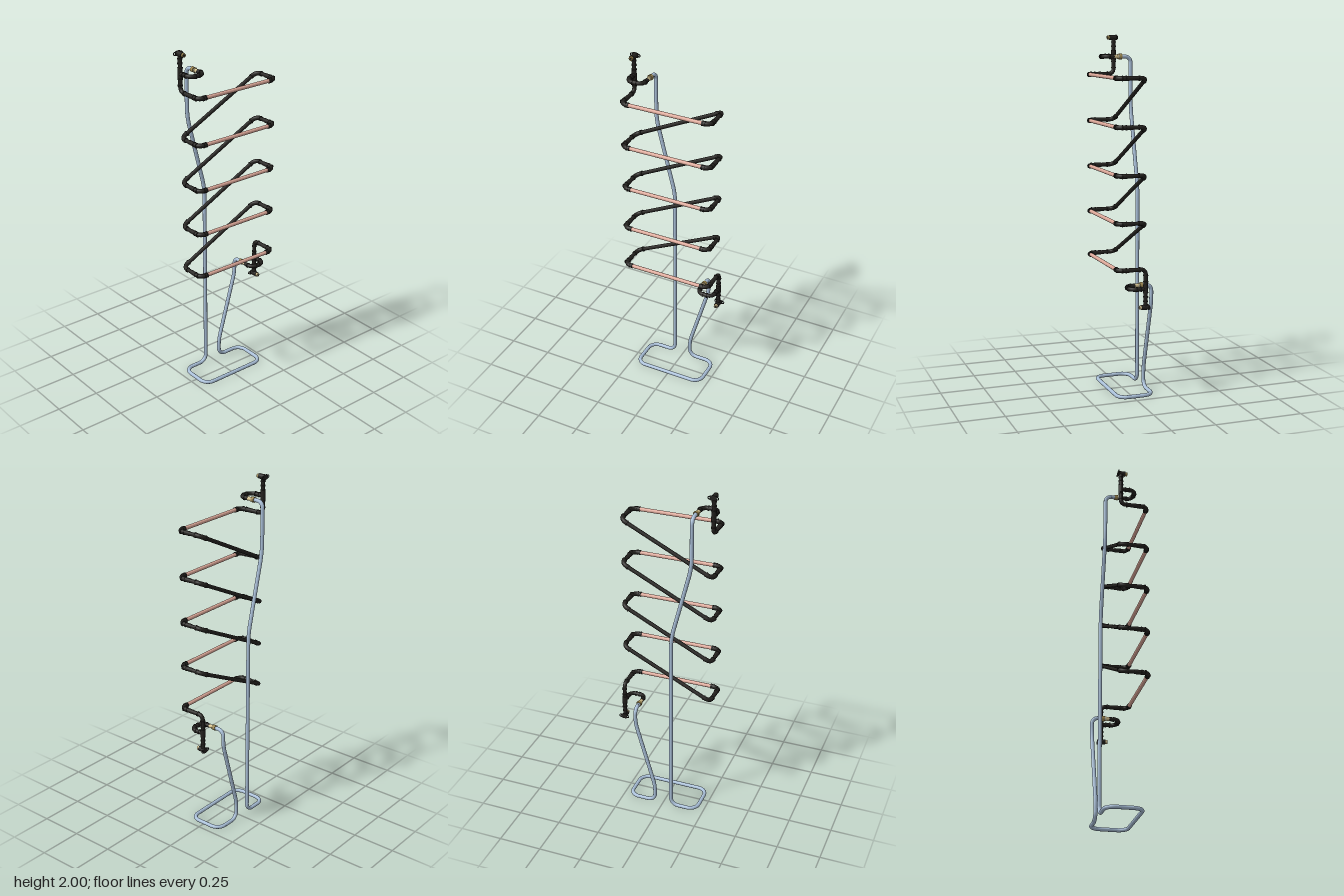
import * as THREE from 'three';
import { mergeGeometries } from 'three/addons/utils/BufferGeometryUtils.js';

const paint = (name, color, side = THREE.FrontSide) => {
  const m = new THREE.MeshStandardMaterial({ color, side });
  m.name = name;
  return m;
};

export function createModel() {
  const model = new THREE.Group();
  model.name = 'coiledPipeStand';
  const steel = paint('blue steel', 0xa9bfd8, THREE.DoubleSide);
  const black = paint('black pipe', 0x24221f, THREE.DoubleSide);
  const copper = paint('copper', 0xdba798);
  const brass = paint('brass', 0xa08a52);
  const paleBrass = paint('pale brass', 0xd6c391);

  const V = (x, y, z) => new THREE.Vector3(x, y, z);
  const add = (name, geometry, material, parent = model) => {
    const mesh = new THREE.Mesh(geometry, material);
    mesh.name = name;
    parent.add(mesh);
    return mesh;
  };

  // Pipe through points [x, y, z, bend]; bend is the length cut from each side of the corner
  function pipe(name, points, radius, material, parent = model) {
    const p = points.map(([x, y, z]) => V(x, y, z));
    const pieces = [];
    const tube = (curve, steps) => pieces.push(new THREE.TubeGeometry(curve, steps, radius, 14));
    let from = p[0];
    for (let i = 1; i < p.length - 1; i++) {
      const bend = points[i][3];
      const inDir = p[i].clone().sub(p[i - 1]).normalize();
      const outDir = p[i + 1].clone().sub(p[i]).normalize();
      const a = p[i].clone().addScaledVector(inDir, -bend);
      const b = p[i].clone().addScaledVector(outDir, bend);
      const turn = inDir.angleTo(outDir);
      const h = bend * (4 / 3) * Math.tan(turn / 4) / Math.tan(turn / 2);
      tube(new THREE.LineCurve3(from, a), 1);
      tube(new THREE.CubicBezierCurve3(a, a.clone().addScaledVector(inDir, h),
        b.clone().addScaledVector(outDir, -h), b), 10);
      from = b;
    }
    tube(new THREE.LineCurve3(from, p[p.length - 1]), 1);
    return add(name, mergeGeometries(pieces), material, parent);
  }

  // Short cylinder centred on a point and aimed along a direction
  function sleeve(name, at, dir, radius, length, material, sides = 16, parent = model) {
    const mesh = add(name, new THREE.CylinderGeometry(radius, radius, length, sides), material, parent);
    mesh.position.copy(at);
    mesh.quaternion.setFromUnitVectors(V(0, 1, 0), dir.clone().normalize());
    return mesh;
  }
  const collar = (at, dir) => sleeve('collar', at, dir, 0.0145, 0.006, black);

  const X = 0.26, FRONT = 0.11, BACK = -0.045, REAR = -0.115, BEND = 0.033;
  const FIT = 0.0125, levels = [1.78, 1.52, 1.26, 1.0, 0.745];
  const xAxis = V(1, 0, 0), yAxis = V(0, 1, 0), zAxis = V(0, 0, 1);

  // Bent steel stand: tall upright, looped foot, short upright
  pipe('stand', [
    [-0.167, 1.88, -0.04], [-0.167, 1.88, REAR, 0.035], [-0.167, 1.6, REAR, 0.06],
    [-0.053, 1.15, REAR, 0.06], [-0.053, 0.011, REAR, 0.045],
    [-0.209, 0.011, REAR, 0.055], [-0.209, 0.011, 0.089, 0.055],
    [0.209, 0.011, 0.089, 0.055], [0.209, 0.011, REAR, 0.055],
    [0.048, 0.011, REAR, 0.045], [0.048, 0.12, REAR, 0.04],
    [0.167, 0.54, REAR, 0.04], [0.167, 0.635, REAR, 0.035], [0.167, 0.635, -0.04],
  ], 0.011, steel);

  // Copper rungs across the front
  for (const y of levels) sleeve('copperRung', V(0, y, FRONT), xAxis, 0.0108, 0.43, copper, 20);

  // Flat returns at both ends of the rungs, joined by sloping rods at the back
  for (let i = 0; i < levels.length - 1; i++) {
    const top = levels[i], low = levels[i + 1];
    const slope = V(2 * X, top - low, 0).normalize();
    pipe('slopingRod', [[X, top, 0.05], [X, top, BACK, BEND], [-X, low, BACK, BEND], [-X, low, 0.05]],
      0.0108, black);
    for (const [s, y] of [[1, top], [-1, low]]) {
      const end = V(s * X, y, BACK).addScaledVector(slope, -s * 0.04);
      pipe('rearElbow', [[s * X, y, -0.005], [s * X, y, BACK, BEND], end.toArray()], FIT, black);
      collar(end, slope);
      collar(V(s * X, y, -0.005), zAxis);
    }
  }
  for (const y of levels) for (const s of [-1, 1]) {
    pipe('frontElbow', [[s * 0.212, y, FRONT], [s * X, y, FRONT, BEND], [s * X, y, 0.03]], FIT, black);
    collar(V(s * 0.215, y, FRONT), xAxis);
    collar(V(s * 0.23, y, FRONT), xAxis);
    for (const z of [0.09, 0.068]) collar(V(s * X, y, z), zAxis);
  }

  // Wall ear outline with two screw holes
  const ear = new THREE.Shape();
  ear.moveTo(-0.022, -0.009);
  ear.quadraticCurveTo(0, -0.021, 0.022, -0.009);
  ear.absarc(0.022, 0, 0.009, -Math.PI / 2, Math.PI / 2);
  ear.quadraticCurveTo(0, 0.021, -0.022, 0.009);
  ear.absarc(-0.022, 0, 0.009, Math.PI / 2, Math.PI * 1.5);
  for (const s of [-1, 1]) ear.holes.push(new THREE.Path().absarc(s * 0.022, 0, 0.0045, 0, Math.PI * 2, true));
  const earGeometry = new THREE.ExtrudeGeometry(ear, { depth: 0.003, bevelEnabled: false });

  // Supply ends: riser, tee with hook to the stand, brass coupling, wall outlet
  for (const [s, level, tee, outlet] of [[-1, 1.78, 1.88, 1.985], [1, 0.745, 0.635, 0.532]]) {
    const x = s * X, hx = s * 0.167, up = Math.sign(outlet - level);
    pipe('riser', [[x, level, 0.06], [x, level, BACK, 0.028], [x, outlet, BACK]], 0.0115, black);
    for (const d of [0.035, 0.07, 0.13, 0.155, 0.18]) collar(V(x, level + up * d, BACK), yAxis);
    collar(V(x, level, -0.01), zAxis);
    sleeve('teeBody', V(x, tee, BACK), yAxis, 0.0135, 0.05, black);
    pipe('hook', [[x, tee, BACK], [x, tee, 0.04, BEND], [hx, tee, 0.04, BEND], [hx, tee, -0.016]],
      0.0115, black);
    for (const z of [-0.018, 0.005]) collar(V(x, tee, z), zAxis);
    for (const d of [0.035, 0.058]) collar(V(x - s * d, tee, 0.04), xAxis);
    collar(V(hx, tee, 0.008), zAxis);

    sleeve('couplingNut', V(hx, tee, -0.053), zAxis, 0.0165, 0.018, brass, 6);
    sleeve('couplingBody', V(hx, tee, -0.03), zAxis, 0.0105, 0.028, paleBrass);
    sleeve('couplingRing', V(hx, tee, -0.038), zAxis, 0.013, 0.006, paleBrass);

    const wall = new THREE.Group();
    wall.name = 'wallOutlet';
    wall.position.set(x, outlet, 0);
    model.add(wall);
    add('earPlate', earGeometry, black, wall).position.z = -0.063;
    sleeve('outletBody', V(0, 0, -0.041), zAxis, 0.0145, 0.042, black, 20, wall);
    sleeve('outletInsert', V(0, 0, -0.015), zAxis, 0.011, 0.014, s < 0 ? brass : paleBrass, 16, wall);
    sleeve('outletBore', V(0, 0, -0.0075), zAxis, 0.006, 0.002, black, 16, wall);
  }
  return model;
}
